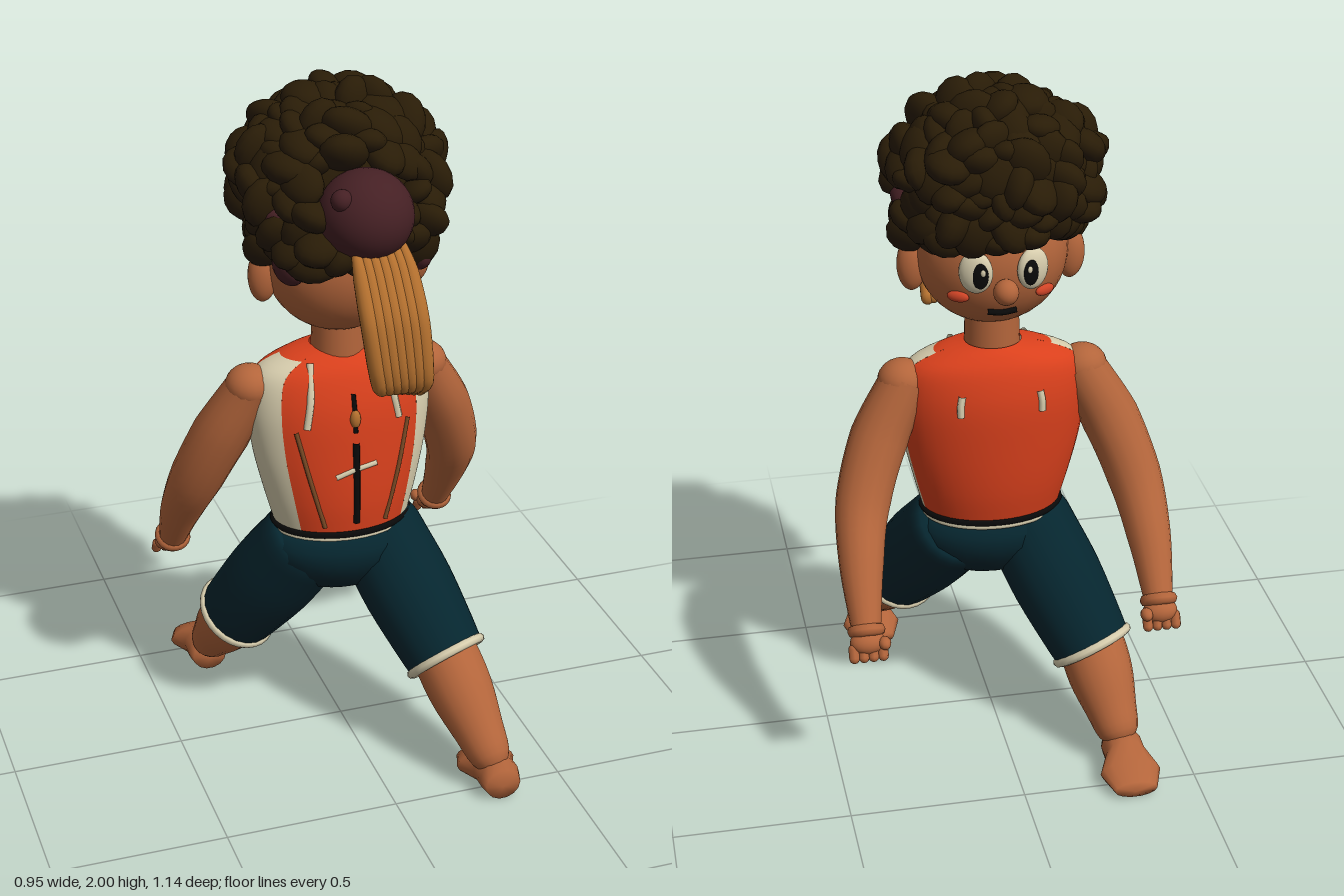
import * as THREE from 'three';

const V = (x, y, z) => new THREE.Vector3(x, y, z);
const mat = (name, hex, side = THREE.FrontSide) => {
  const m = new THREE.MeshStandardMaterial({ color: hex, side });
  m.name = name;
  return m;
};

export function createModel() {
  const model = new THREE.Group();
  const skin = mat('skin', 0xb3653b);
  const red = mat('red vest', 0xd9401c, THREE.DoubleSide);
  const cream = mat('cream', 0xd8ceae, THREE.DoubleSide);
  const navy = mat('navy shorts', 0x06262f);
  const hairMat = mat('dark hair', 0x291c07);
  const maroon = mat('maroon', 0x452024);
  const tan = mat('tan', 0xb5712f);
  const black = mat('black', 0x0a0a0a);
  const brown = mat('brown seam', 0x7a4a25);
  const blush = mat('blush', 0xcf4426);

  const add = (name, geo, m, parent = model) => {
    const mesh = new THREE.Mesh(geo, m);
    mesh.name = name;
    parent.add(mesh);
    return mesh;
  };
  const ball = (name, m, p, r, parent = model, w = 20, h = 14) => {
    const mesh = add(name, new THREE.SphereGeometry(1, w, h), m, parent);
    mesh.position.set(...p);
    mesh.scale.set(...r);
    return mesh;
  };
  // Turned limb running from a to b; profile holds [radius, fraction along]
  const limb = (name, m, a, b, profile) => {
    const dir = b.clone().sub(a), len = dir.length();
    const smooth = new THREE.SplineCurve(profile.map(([r, t]) => new THREE.Vector2(r, t * len)));
    const pts = smooth.getPoints(18).map(p => new THREE.Vector2(Math.max(p.x, 0), p.y));
    const mesh = add(name, new THREE.LatheGeometry(pts, 20), m);
    mesh.position.copy(a);
    mesh.quaternion.setFromUnitVectors(V(0, 1, 0), dir.normalize());
  };
  // Tube whose radius follows a list along the path
  const taper = (name, m, pts, radii) => {
    const n = 24, k = 16, curve = new THREE.CatmullRomCurve3(pts);
    const geo = new THREE.TubeGeometry(curve, n, 1, k), pos = geo.attributes.position, v = V(0, 0, 0);
    for (let i = 0; i <= n; i++) {
      const c = curve.getPointAt(i / n), f = i / n * (radii.length - 1);
      const j = Math.min(Math.floor(f), radii.length - 2);
      const r = THREE.MathUtils.lerp(radii[j], radii[j + 1], f - j);
      for (let q = 0; q <= k; q++) {
        const id = i * (k + 1) + q;
        v.fromBufferAttribute(pos, id).sub(c).multiplyScalar(r).add(c);
        pos.setXYZ(id, v.x, v.y, v.z);
      }
    }
    add(name, geo, m);
  };
  const cord = (name, m, pts, r) =>
    add(name, new THREE.TubeGeometry(new THREE.CatmullRomCurve3(pts), 12, r, 6), m);

  // Vest: oval sections (half width, height, half depth), split into colour panels
  const vest = new THREE.CatmullRomCurve3([
    V(.195, .69, .14), V(.225, .8, .155), V(.258, .95, .157), V(.267, 1.08, .15),
    V(.245, 1.17, .125), V(.16, 1.215, .095), V(.08, 1.235, .07)]);
  const shiftZ = y => -.06 * (y - .69);
  const panel = (name, m, from, to, v0 = 0, v1 = 1) => {
    const rad = Math.PI / 180;
    const geo = new THREE.CylinderGeometry(1, 1, 1, 18, 24, true, from * rad, (to - from) * rad);
    const pos = geo.attributes.position;
    for (let i = 0; i < pos.count; i++) {
      const s = vest.getPoint(THREE.MathUtils.lerp(v0, v1, pos.getY(i) + .5));
      pos.setXYZ(i, s.x * pos.getX(i), s.y, s.z * pos.getZ(i) + shiftZ(s.y));
    }
    geo.computeVertexNormals();
    add(name, geo, m);
  };
  panel('vestZipSide', red, -48, 48);
  panel('vestPlainSide', red, 102, 258);
  for (const [from, to] of [[48, 102], [258, 312]]) {
    panel('vestSidePanel', cream, from, to, 0, .82);
    panel('vestCollar', red, from, to, .82, 1);
  }
  const rows = vest.getPoints(120);
  const onVest = (x, y, side) => {
    const s = rows.find(p => p.y >= y) || rows[rows.length - 1];
    return V(x, y, side * s.z * Math.sqrt(Math.max(0, 1 - (x / s.x) ** 2)) + shiftZ(y));
  };
  const stitch = (name, m, list, r, side = 1) =>
    cord(name, m, list.map(([x, y]) => onVest(x, y, side)), r);
  stitch('zipLower', black, [[0, .74], [0, .86], [0, .99]], .01);
  stitch('zipUpper', black, [[0, 1.02], [0, 1.08], [0, 1.13]], .007);
  stitch('zipPull', cream, [[-.06, .89], [0, .91], [.06, .92]], .008);
  ball('zipToggle', tan, onVest(0, 1.06, 1).toArray(), [.016, .028, .014], model, 10, 8);
  for (const s of [-1, 1]) {
    stitch('vestSeam', brown, [[s * .165, 1.03], [s * .13, .88], [s * .09, .73]], .007);
    stitch('strapTrim', cream, [[s * .105, 1.21], [s * .12, 1.12], [s * .135, 1.04]], .011);
    stitch('chestTrim', cream, [[s * .11, 1.12], [s * .115, 1.09], [s * .115, 1.06]], .011, -1);
  }
  // Waist bands
  [['belt', black, .704, .2, .01], ['waistTrim', cream, .689, .194, .009]].forEach(([name, m, y, r, t]) => {
    const band = add(name, new THREE.TorusGeometry(r, t, 6, 40), m);
    band.rotation.x = Math.PI / 2;
    band.scale.set(1, .72, 1);
    band.position.y = y;
  });

  // Shorts seat
  const seat = add('shortsSeat', new THREE.LatheGeometry([[0, .505], [.14, .51], [.195, .56], [.228, .61],
    [.222, .65], [.195, .685], [0, .69]].map(p => new THREE.Vector2(...p)), 28), navy);
  seat.scale.z = .69;
  seat.position.z = .01;

  // Legs in a long stride
  const leg = (hip, knee, ankle, footX, heelZ) => {
    limb('shortsLeg', navy, hip, knee,
      [[0, -.25], [.1, -.235], [.128, -.16], [.133, .05], [.135, .4], [.124, .8], [.116, 1]]);
    const cuff = add('shortsCuff', new THREE.TorusGeometry(.112, .014, 8, 28), cream);
    cuff.position.copy(knee);
    cuff.quaternion.setFromUnitVectors(V(0, 0, 1), knee.clone().sub(hip).normalize());
    const lid = add('cuffLining', new THREE.CircleGeometry(.114, 28), cream);
    lid.position.copy(knee);
    lid.quaternion.copy(cuff.quaternion);
    limb('shin', skin, knee, ankle, [[.09, -.12], [.097, .05], [.094, .35], [.075, .7], [.054, 1], [0, 1.13]]);
    // Foot: sections [distance from heel, half width, top height], toes toward -z
    const secs = [[0, .052, .095], [.03, .06, .11], [.08, .06, .105], [.14, .088, .075], [.21, .062, .05]];
    const n = 14, pos = [], idx = [];
    secs.forEach(([d, w, h]) => {
      for (let i = 0; i < n; i++) {
        const t = i / n * Math.PI * 2;
        pos.push(footX + w * Math.cos(t), .008 + h * (.5 + .5 * Math.sin(t)), heelZ - d);
      }
    });
    secs.forEach(([d, , h]) => pos.push(footX, h / 2, heelZ - d));
    const heel = secs.length * n, toe = heel + secs.length - 1, last = (secs.length - 1) * n;
    for (let i = 0; i < n; i++) {
      const j = (i + 1) % n;
      for (let r = 0; r < last; r += n) idx.push(r + i, r + i + n, r + j, r + j, r + i + n, r + j + n);
      idx.push(heel, i, j, toe, last + j, last + i);
    }
    const geo = new THREE.BufferGeometry();
    geo.setAttribute('position', new THREE.Float32BufferAttribute(pos, 3));
    geo.setIndex(idx);
    geo.computeVertexNormals();
    add('foot', geo, skin);
  };
  leg(V(.125, .59, .035), V(.23, .325, .275), V(.29, .1, .505), .3, .57);
  leg(V(-.125, .585, -.025), V(-.262, .295, -.205), V(-.305, .095, -.385), -.31, -.36);

  // Arms with fists
  for (const s of [-1, 1]) {
    taper('arm', skin, [V(s * .25, 1.13, -.035), V(s * .335, .97, -.075), V(s * .395, .8, -.145),
      V(s * .415, .66, -.24), V(s * .42, .52, -.335)], [.07, .083, .078, .063, .042]);
    ball('shoulder', skin, [s * .258, 1.13, -.035], [.07, .062, .07]);
    const wrist = add('wristBand', new THREE.TorusGeometry(.036, .018, 8, 20), skin);
    wrist.position.set(s * .42, .515, -.34);
    wrist.quaternion.setFromUnitVectors(V(0, 0, 1), V(0, -.8, -.6));
    ball('palm', skin, [s * .42, .49, -.36], [.05, .035, .036]);
    for (let i = 0; i < 4; i++) {
      const f = add('finger', new THREE.CapsuleGeometry(.015, .026, 4, 8), skin);
      f.position.set(s * (.38 + i * .027), .467, -.378);
      f.rotation.x = .5;
    }
    ball('thumb', skin, [s * .375, .495, -.382], [.018, .018, .024], model, 10, 8);
  }

  // Neck, head and face (looking toward -z)
  const neck = add('neck', new THREE.CylinderGeometry(.075, .08, .16, 24), skin);
  neck.position.set(0, 1.26, -.02);
  ball('head', skin, [0, 1.5, -.01], [.213, .21, .185], model, 32, 24);
  const faceZ = (x, y) => -.01 - .185 * Math.sqrt(1 - (x / .213) ** 2 - ((y - 1.5) / .21) ** 2);
  const faceSpot = (name, m, x, y, r, lift) => {
    const spot = ball(name, m, [x, y, faceZ(x, y) - lift], r);
    spot.rotation.y = -x * 4.5;
  };
  for (const s of [-1, 1]) {
    ball('ear', skin, [s * .222, 1.47, -.01], [.042, .078, .034]);
    faceSpot('eyeWhite', cream, s * .078, 1.508, [.047, .06, .024], .008);
    faceSpot('pupil', black, s * .07, 1.505, [.023, .037, .01], .027);
    faceSpot('eyeGlint', cream, s * .064, 1.518, [.007, .01, .004], .037);
    faceSpot('cheek', blush, s * .12, 1.425, [.032, .016, .012], .005);
  }
  ball('nose', skin, [0, 1.455, -.217], [.035, .036, .036]);
  cord('mouth', black, [-.04, 0, .04].map(x => V(x, 1.372 + x * x * 2, faceZ(x, 1.375) - .005)), .009);

  // Hair: a core covered in plump, uneven curls
  const hair = new THREE.Group();
  hair.name = 'hair';
  model.add(hair);
  let seed = 7;
  const rnd = () => (seed = (seed * 16807) % 2147483647) / 2147483647;
  const lean = y => -.017 - .22 * (y - 1.71);
  ball('hairCore', hairMat, [0, 1.74, -.03], [.235, .2, .205], hair, 24, 16);
  const curl = new THREE.SphereGeometry(1, 14, 10);
  const count = 210;
  for (let i = 0; i < count; i++) {
    const h = 1 - 2 * (i + .5) / count, a = i * 2.39996, w = Math.sqrt(1 - h * h);
    const k = .92 + rnd() * .13, y = 1.7 + .24 * h * k, size = .044 + rnd() * .026;
    const x = w * Math.cos(a) * .258 * k, dz = w * Math.sin(a) * .232 * k;
    if (y < (dz < -.12 ? 1.6 : 1.565)) continue;
    // Leave room for the bun and let the side wrap peek through
    if (Math.hypot(x, y - 1.71) < .12 && dz > .1) continue;
    if (Math.abs(x) > .19 && Math.abs(y - 1.665) < .045 && dz > -.08 && rnd() < .6) continue;
    const c = add('curl', curl, hairMat, hair);
    c.position.set(x, y, lean(y) + dz);
    c.scale.set(size * 1.2, size * .7, size);
    c.rotation.set(rnd() * 3, rnd() * 3, rnd() * 3);
  }

  // Bun, wrap and the strands hanging from it
  ball('bun', maroon, [0, 1.7, .21], [.13, .125, .13], model, 28, 20);
  ball('bunKnob', maroon, [-.085, 1.77, .265], [.03, .03, .03]);
  for (const s of [-1, 1]) {
    const wrap = ball('wrapSide', maroon, [s * .202, 1.665, .01], [.072, .045, .145]);
    wrap.rotation.x = -.2;
    ball('wrapNape', maroon, [s * .18, 1.535, .1], [.042, .05, .08]);
  }
  for (let i = 0; i < 7; i++) {
    const u = i / 3 - 1;
    taper('strand', tan, [V(.015 + u * .065, 1.63, .27), V(.018 + u * .068, 1.59, .305), V(.025 + u * .07, 1.48, .363),
      V(.03 + u * .07, 1.43, .375), V(.045 + u * .066, 1.31, .377), V(.055 + u * .062, 1.265, .362),
      V(.075 + u * .05, 1.228 - u * .01, .305)],
    [.012, .022, .025, .025, .025, .024, .02]);
    ball('strandTip', tan, [.075 + u * .05, 1.228 - u * .01, .305], [.02, .022, .017], model, 10, 8);
  }
  return model;
}
